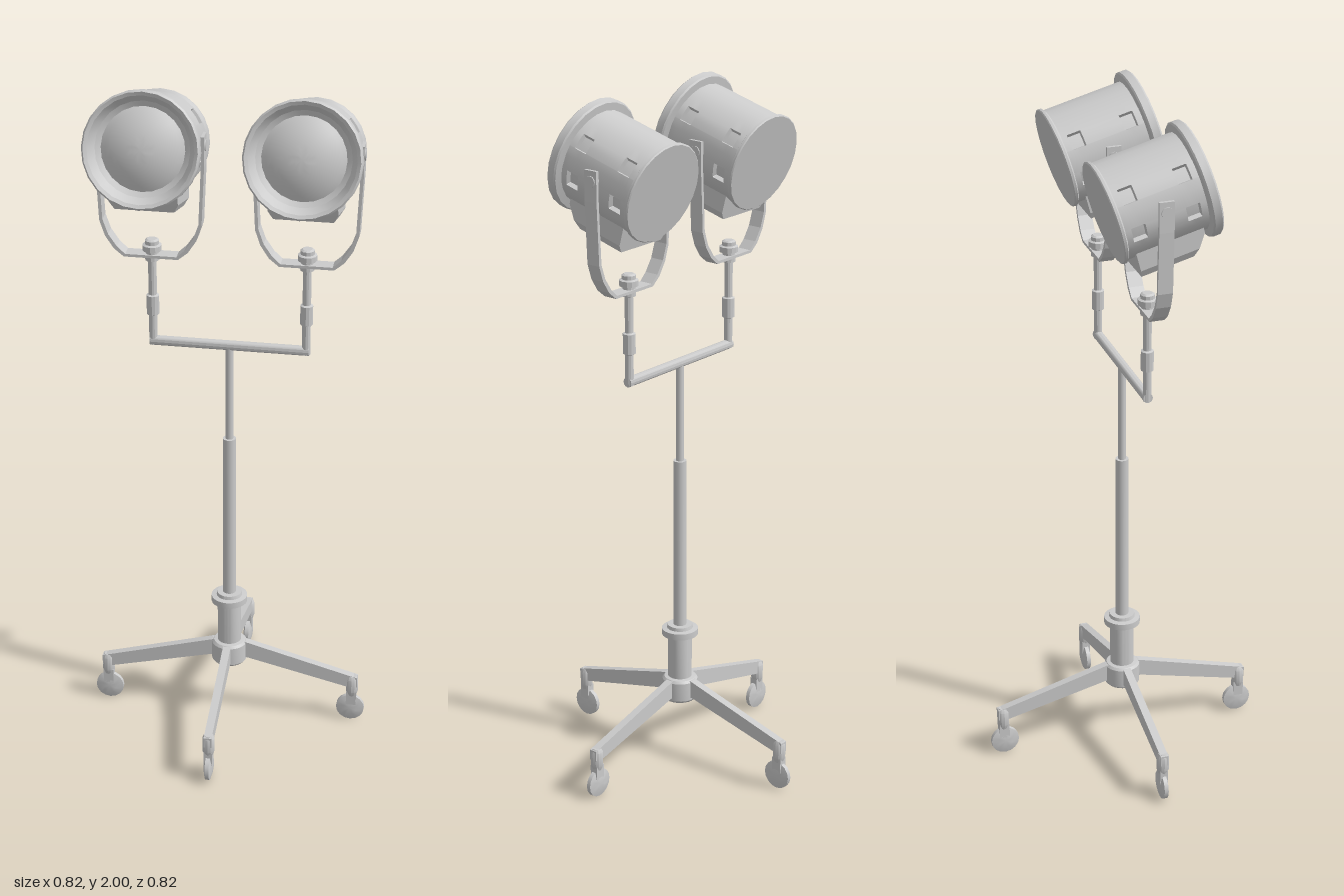
import * as THREE from 'three';
import { toCreasedNormals } from 'three/addons/utils/BufferGeometryUtils.js';
import { ConvexGeometry } from 'three/addons/geometries/ConvexGeometry.js';

const grey = new THREE.MeshStandardMaterial({ color: 0xcccccc, side: THREE.DoubleSide });
const rad = THREE.MathUtils.degToRad;

function add(parent, name, geometry, x = 0, y = 0, z = 0) {
  const mesh = new THREE.Mesh(geometry, grey);
  mesh.name = name;
  mesh.position.set(x, y, z);
  parent.add(mesh);
  return mesh;
}

// Turned part from [radius, height] pairs, sharp at the corners
function turned(profile, segments = 24) {
  const points = profile.map(([r, h]) => new THREE.Vector2(r, h));
  return toCreasedNormals(new THREE.LatheGeometry(points, segments), 0.5);
}

// Flat outline extruded symmetrically about z = 0
function plate(outline, depth) {
  const shape = new THREE.Shape(outline.map(([x, y]) => new THREE.Vector2(x, y)));
  return new THREE.ExtrudeGeometry(shape, { depth, bevelEnabled: false }).translate(0, 0, -depth / 2);
}

// Grid lines along one direction, with paired lines at each recess edge
function gridLines(regular, centres, half, wall) {
  const free = regular.filter(v => centres.every(c => Math.abs(v - c) > half + wall));
  const lines = free.map(v => ({ v, inside: false }));
  for (const c of centres) {
    for (const s of [-1, 1]) {
      lines.push({ v: c + s * half, inside: false }, { v: c + s * (half - wall), inside: true });
    }
    lines.push({ v: c, inside: true });
  }
  return lines.sort((a, b) => a.v - b.v);
}

// Lamp barrel with square recessed vents on both flanks
function barrelGeometry() {
  const steps = Array.from({ length: 25 }, (_, i) => rad(-90 + i * 15));
  const around = gridLines(steps, [-11, 35, 145, 191].map(rad), 0.165, 0.012);
  const along = gridLines([-0.122, 0.125], [-0.077, 0.077], 0.02, 0.002);
  const positions = [], index = [];
  around.forEach((t, i) => along.forEach((a, j) => {
    const r = t.inside && a.inside ? 0.122 : 0.136;
    positions.push(r * Math.cos(t.v), r * Math.sin(t.v), a.v);
    if (i && j) {
      const n = along.length, d = i * n + j, c = d - n;
      index.push(c - 1, d - 1, d, c - 1, d, c);
    }
  }));
  const g = new THREE.BufferGeometry();
  g.setAttribute('position', new THREE.Float32BufferAttribute(positions, 3));
  g.setIndex(index);
  return toCreasedNormals(g, 0.5);
}

// Tapered housing under the barrel, from three rectangles
function housingGeometry() {
  const points = [];
  for (const [y, halfWidth, front] of [[-0.06, 0.095, 0.1], [-0.112, 0.095, 0.1], [-0.15, 0.095, 0.075], [-0.172, 0.082, 0.058]]) {
    for (const s of [-1, 1]) {
      points.push(new THREE.Vector3(s * halfWidth, y, front), new THREE.Vector3(s * halfWidth, y, -0.093));
    }
  }
  return new ConvexGeometry(points);
}

function createLamp() {
  const lamp = new THREE.Group();
  lamp.name = 'lamp';

  // Tilted lamp head
  const head = new THREE.Group();
  head.name = 'lampHead';
  head.position.y = 1.806;
  head.rotation.x = rad(-15);
  lamp.add(head);
  add(head, 'barrel', barrelGeometry());
  add(head, 'housing', housingGeometry());
  const rim = [[0.134, 0.115], [0.157, 0.118], [0.161, 0.122], [0.161, 0.143], [0.156, 0.148], [0.146, 0.143], [0.13, 0.115], [0.114, 0.106]];
  add(head, 'frontRim', turned(rim).rotateX(Math.PI / 2));
  const back = [[0, -0.128], [0.14, -0.128], [0.143, -0.125], [0.143, -0.118], [0.134, -0.112]];
  add(head, 'backCap', turned(back).rotateX(Math.PI / 2));
  const dome = [];
  for (let i = 0; i <= 8; i++) {
    const t = i / 8;
    dome.push([0.116 * (1 - t), 0.106 + 0.036 * (1 - (1 - t) ** 2)]);
  }
  add(head, 'lens', turned(dome).rotateX(Math.PI / 2));

  // U-shaped yoke and its pivots
  const outer = [[0.151, 1.845], [0.151, 1.76], [0.143, 1.585], [0.128, 1.54], [0.104, 1.503], [0.076, 1.48]];
  const inner = outer.map(([x, y], i) => [x - (i < 5 ? 0.009 : 0.004), i === 0 ? y : y + 0.008 * i / 5]);
  const mirror = list => list.map(([x, y]) => [-x, y]).reverse();
  add(lamp, 'yoke', plate([...outer, ...mirror(outer), ...mirror(inner).reverse(), ...inner.slice().reverse()], 0.042));
  for (const s of [-1, 1]) {
    add(lamp, 'pivot', new THREE.CylinderGeometry(0.016, 0.016, 0.024, 12).rotateZ(Math.PI / 2), s * 0.142, 1.815, 0);
  }

  // Post with sleeve and clamping knob
  add(lamp, 'post', turned([[0, 1.21], [0.012, 1.21], [0.012, 1.3], [0.018, 1.303], [0.018, 1.36],
    [0.012, 1.363], [0.012, 1.465], [0.02, 1.468], [0.02, 1.482]], 12));
  add(lamp, 'knob', turned([[0.018, 1.48], [0.018, 1.495], [0.027, 1.497], [0.027, 1.513], [0.02, 1.516],
    [0.02, 1.527], [0.014, 1.531], [0, 1.531]], 12));
  return lamp;
}

function createLeg() {
  const leg = new THREE.Group();
  leg.name = 'leg';
  add(leg, 'legArm', plate([[0.03, 0.188], [0.055, 0.19], [0.355, 0.118], [0.388, 0.118], [0.388, 0.15], [0.05, 0.243], [0.03, 0.243]], 0.023));
  // Caster: swivel socket, fork and bevelled wheel
  add(leg, 'casterSwivel', turned([[0, 0.085], [0.013, 0.085], [0.018, 0.1], [0.018, 0.142], [0.013, 0.153], [0, 0.153]], 12), 0.372);
  add(leg, 'casterFork', new THREE.BoxGeometry(0.03, 0.045, 0.024), 0.371, 0.077, 0);
  const wheel = [[0, -0.012], [0.02, -0.012], [0.042, -0.006], [0.042, 0.006], [0.02, 0.012], [0, 0.012]];
  add(leg, 'casterWheel', turned(wheel, 16).rotateX(Math.PI / 2), 0.368, 0.042, 0);
  return leg;
}

export function createModel() {
  const model = new THREE.Group();
  model.name = 'twinStudioLight';

  // Rolling base
  for (let i = 0; i < 4; i++) {
    const leg = createLeg();
    leg.rotation.y = i * Math.PI / 2;
    model.add(leg);
  }
  add(model, 'hub', turned([[0, 0.175], [0.046, 0.175], [0.052, 0.182], [0.052, 0.238], [0.046, 0.245], [0.034, 0.247]]));
  add(model, 'baseTube', turned([[0.035, 0.24], [0.035, 0.378], [0.053, 0.381], [0.053, 0.4], [0.038, 0.402], [0.036, 0.412], [0, 0.412]]));

  // Telescoping pole and crossbar
  add(model, 'lowerPole', new THREE.CylinderGeometry(0.019, 0.019, 0.52, 16), 0, 0.665, 0);
  add(model, 'upperPole', new THREE.CylinderGeometry(0.011, 0.011, 0.3, 16), 0, 1.065, 0);
  add(model, 'crossbar', toCreasedNormals(new THREE.CylinderGeometry(0.014, 0.014, 0.452, 12).rotateZ(Math.PI / 2), 0.6), 0, 1.22, 0);

  // Pair of lamps
  for (const s of [-1, 1]) {
    const lamp = createLamp();
    lamp.position.x = s * 0.217;
    model.add(lamp);
  }
  return model;
}
